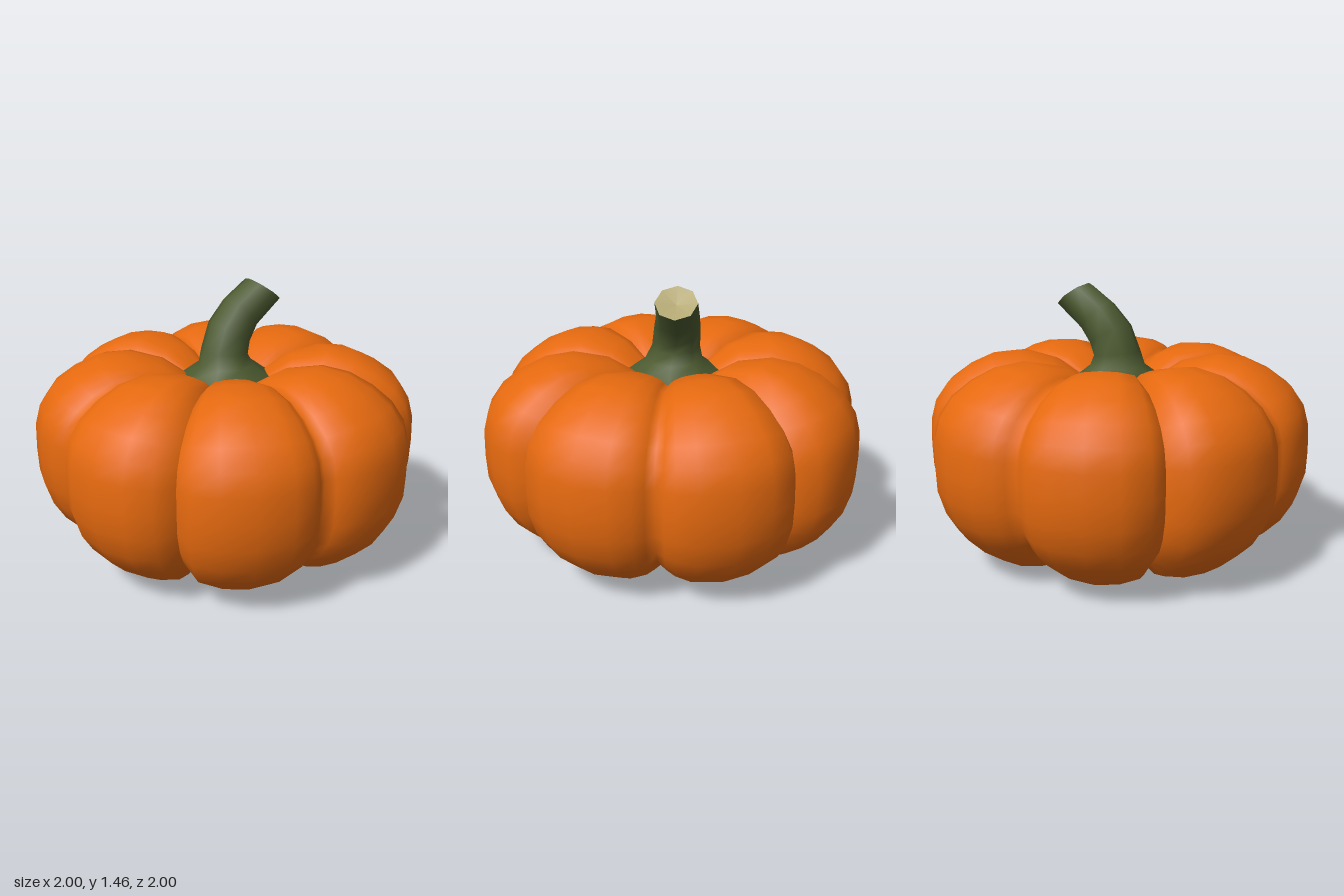
import * as THREE from 'three';

// Smooth surface from a grid of points: grid[row][column], rows run top to bottom
function loft(grid) {
  const cols = grid[0].length, position = [], index = [];
  grid.forEach(row => row.forEach(p => position.push(...p)));
  for (let i = 0; i < grid.length - 1; i++) {
    for (let j = 0; j < cols - 1; j++) {
      const a = i * cols + j, b = a + cols;
      index.push(a, b, a + 1, b, b + 1, a + 1);
    }
  }
  const g = new THREE.BufferGeometry();
  g.setAttribute('position', new THREE.Float32BufferAttribute(position, 3));
  g.setIndex(index);
  g.computeVertexNormals();
  return g;
}

// Profiles [radius, height] from the top dimple to the bottom dimple
const RIB = [[0, 0.84], [0.12, 0.88], [0.22, 0.96], [0.36, 1.05], [0.55, 1.09], [0.7, 1.07],
  [0.83, 1.01], [0.94, 0.93], [1.01, 0.83], [1.04, 0.72], [1.045, 0.58], [1.04, 0.45], [1.0, 0.32],
  [0.94, 0.22], [0.85, 0.13], [0.74, 0.055], [0.6, 0.005], [0.5, 0], [0.36, 0.03], [0.2, 0.08], [0, 0.14]];
const SEAM = [[0, 0.84], [0.12, 0.87], [0.22, 0.93], [0.34, 0.985], [0.5, 1.01], [0.63, 0.99],
  [0.74, 0.94], [0.83, 0.87], [0.89, 0.79], [0.915, 0.7], [0.92, 0.58], [0.915, 0.45], [0.88, 0.34],
  [0.83, 0.26], [0.75, 0.19], [0.66, 0.13], [0.54, 0.095], [0.45, 0.09], [0.33, 0.1], [0.19, 0.12], [0, 0.14]];

// Bulge across one rib: [fraction from soft groove to sharp groove, seam-to-rib blend]
const BULGE = [[0, 0], [0.06, 0.27], [0.13, 0.55], [0.27, 0.84], [0.5, 1], [0.71, 0.93], [0.89, 0.7], [1, 0]];

// A quarter of the body: two ribs with a soft groove between them
function quarterGeometry() {
  const across = [
    ...BULGE.slice(1).reverse().map(([u, w]) => [-u, w]),
    ...BULGE,
  ];
  return loft(RIB.map(([r, y], i) => across.map(([u, w]) => {
    const angle = u * Math.PI / 4;
    const radius = THREE.MathUtils.lerp(SEAM[i][0], r, w);
    const height = THREE.MathUtils.lerp(SEAM[i][1], y, w);
    return [radius * Math.sin(angle), height, radius * Math.cos(angle)];
  })));
}

// Stem rings from the tip down: [x, y, z, lean in degrees, radius]
const STEM = [[0.25, 1.395, -0.035, 36, 0.11], [0.105, 1.285, -0.03, 46, 0.115],
  [0.03, 1.19, -0.02, 30, 0.125], [-0.005, 1.09, -0.01, 6, 0.13],
  [0, 1.02, 0, 0, 0.155], [0, 0.95, 0, 0, 0.25], [0, 0.86, 0, 0, 0.36]];
const SIDES = 8;

function ring([x, y, z, lean, radius]) {
  const tilt = lean * Math.PI / 180;
  return Array.from({ length: SIDES + 1 }, (_, k) => {
    const a = (k % SIDES) / SIDES * Math.PI * 2;
    const side = radius * Math.sin(a);
    return [x + side * Math.cos(tilt), y - side * Math.sin(tilt), z + radius * Math.cos(a)];
  });
}

// Make the normals meet where the stem wraps around
function closeSeam(g, cols) {
  const n = g.attributes.normal, v = new THREE.Vector3(), w = new THREE.Vector3();
  for (let i = 0; i < n.count; i += cols) {
    v.fromBufferAttribute(n, i).add(w.fromBufferAttribute(n, i + cols - 1)).normalize();
    n.setXYZ(i, v.x, v.y, v.z);
    n.setXYZ(i + cols - 1, v.x, v.y, v.z);
  }
  return g;
}

export function createModel() {
  const skin = new THREE.MeshStandardMaterial({ color: 0xe5690f });
  const stemGreen = new THREE.MeshStandardMaterial({ color: 0x4c5a30 });
  const cutTan = new THREE.MeshStandardMaterial({ color: 0xb3a873 });
  skin.name = 'orangeSkin';
  stemGreen.name = 'stemGreen';
  cutTan.name = 'cutTan';

  const model = new THREE.Group();
  model.name = 'pumpkin';

  // Body: four rib pairs meeting at sharp grooves
  const body = new THREE.Group();
  body.name = 'body';
  const quarter = quarterGeometry();
  ['front', 'left', 'back', 'right'].forEach((name, i) => {
    const mesh = new THREE.Mesh(quarter, skin);
    mesh.name = name + 'Ribs';
    mesh.rotation.y = i * Math.PI / 2;
    body.add(mesh);
  });
  model.add(body);

  // Curved stem with a flared foot
  const stem = new THREE.Mesh(closeSeam(loft(STEM.map(ring)), SIDES + 1), stemGreen);
  stem.name = 'stem';
  model.add(stem);

  // Slightly hollow cut end
  const tip = ring(STEM[0]);
  const centre = [STEM[0][0] - 0.012, STEM[0][1] - 0.016, STEM[0][2]];
  const cut = new THREE.Mesh(loft([tip.map(() => centre), tip]), cutTan);
  cut.name = 'stemCut';
  model.add(cut);

  return model;
}
